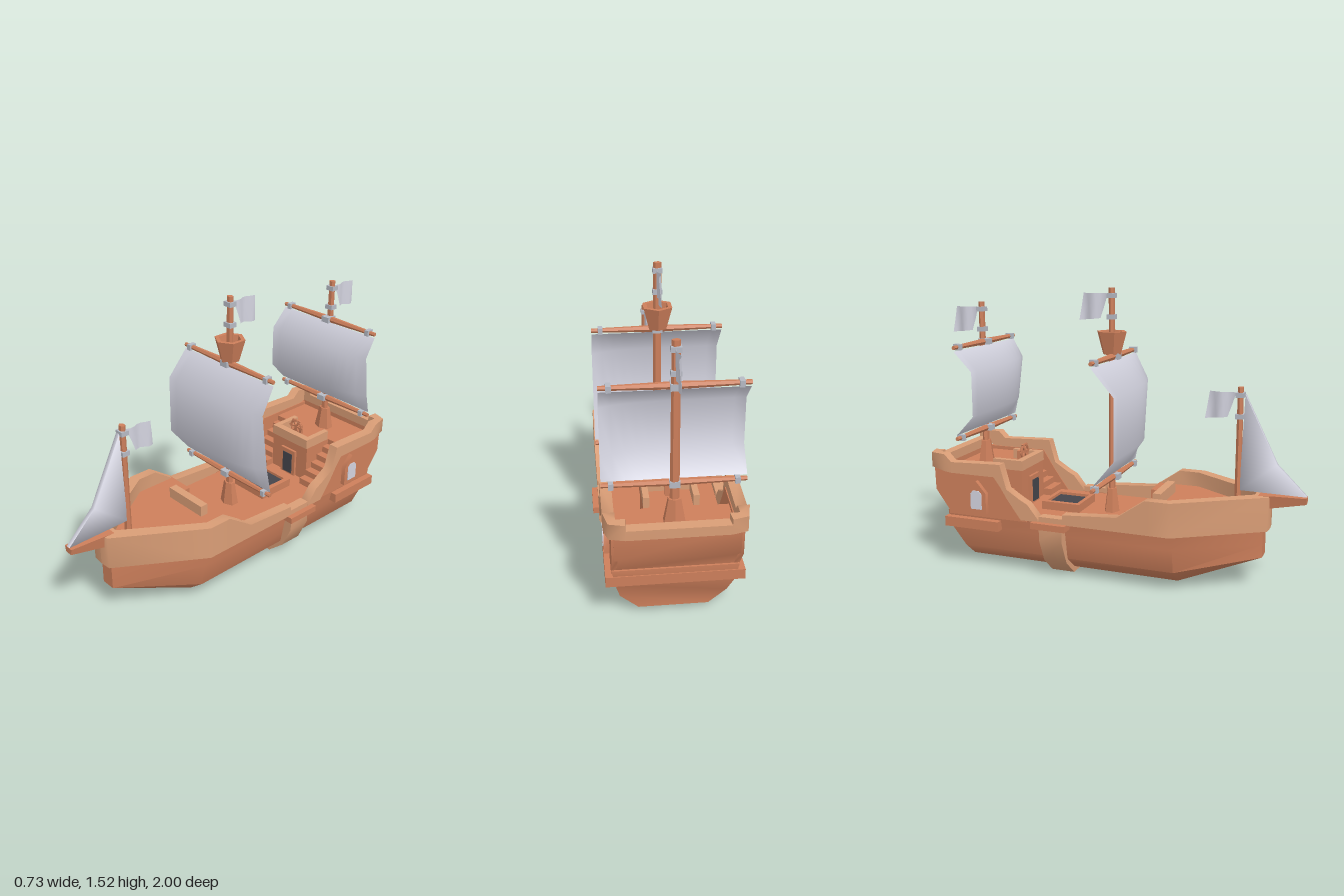
import * as THREE from 'three';
import { toCreasedNormals } from 'three/addons/utils/BufferGeometryUtils.js';

const mat = (name, color, extra = {}) => {
  const m = new THREE.MeshStandardMaterial({ color, ...extra });
  m.name = name;
  return m;
};

export function createModel() {
  const ship = new THREE.Group();
  ship.name = 'sailingShip';
  const wood = mat('wood', 0xcd7f5b);
  const trim = mat('lightWood', 0xd99d76);
  const cloth = mat('sailCloth', 0xd3d3df, { side: THREE.DoubleSide });
  const dark = mat('darkGrate', 0x45454b);
  const rope = mat('greyLashing', 0xb6bac4);

  const add = (name, geo, m, x = 0, y = 0, z = 0) => {
    const mesh = new THREE.Mesh(geo, m);
    mesh.name = name;
    mesh.position.set(x, y, z);
    ship.add(mesh);
    return mesh;
  };
  const flat = (geo) => {
    const g = geo.toNonIndexed();
    g.computeVertexNormals();
    return g;
  };
  // box given by its limits
  const box = (name, m, x0, x1, y0, y1, z0, z1) =>
    add(name, new THREE.BoxGeometry(x1 - x0, y1 - y0, z1 - z0), m, (x0 + x1) / 2, (y0 + y1) / 2, (z0 + z1) / 2);
  const extrude = (pts, depth, crease = 0.8) => {
    const outline = new THREE.Shape(pts.map(([a, b]) => new THREE.Vector2(a, b)));
    return toCreasedNormals(new THREE.ExtrudeGeometry(outline, { depth, bevelEnabled: false }), crease);
  };
  // side profile of [z, y] points, filling x0..x1
  const side = (name, m, pts, x0, x1, crease) =>
    add(name, extrude(pts, x1 - x0, crease).rotateY(-Math.PI / 2), m, x1);
  // plan of [x, z] points, filling y0..y1
  const plan = (name, m, pts, y0, y1) =>
    add(name, extrude(pts.map(([x, z]) => [x, -z]), y1 - y0).rotateX(-Math.PI / 2), m, 0, y0);

  // closed solid through rings of points, turned outwards by its signed volume
  const loft = (rings, crease) => {
    const tris = [], n = rings[0].length;
    const last = rings[rings.length - 1];
    for (let r = 0; r < rings.length - 1; r++)
      for (let i = 0; i < n; i++) {
        const j = (i + 1) % n, a = rings[r], b = rings[r + 1];
        tris.push([a[i], b[i], b[j]], [a[i], b[j], a[j]]);
      }
    for (let i = 1; i < n - 1; i++)
      tris.push([rings[0][0], rings[0][i], rings[0][i + 1]], [last[0], last[i + 1], last[i]]);
    const c = rings[0][0];
    const vol = tris.reduce((s, t) => {
      const [p, q, w] = t.map((v) => new THREE.Vector3(v[0] - c[0], v[1] - c[1], v[2] - c[2]));
      return s + p.dot(q.cross(w));
    }, 0);
    const pos = tris.flatMap((t) => (vol < 0 ? [t[0], t[2], t[1]] : t)).flat();
    const g = new THREE.BufferGeometry();
    g.setAttribute('position', new THREE.Float32BufferAttribute(pos, 3));
    return toCreasedNormals(g, crease);
  };
  // mirrored wall; stations: outer x, outer z, inner x, inner z, bottom, top
  const walls = (name, m, st) => {
    for (const s of [1, -1])
      add(name, loft(st.map(([ox, oz, ix, iz, b, t]) =>
        [[s * ox, b, oz], [s * ox, t, oz], [s * ix, t, iz], [s * ix, b, iz]]), 1.1), m);
  };

  // hull, its top being the main deck; each station is [z, half section from the top down]
  const hull = [
    [-0.9, [[0.3, 0.32], [0.285, 0.24], [0.285, 0.24], [0.285, 0.24]]],
    [-0.82, [[0.3, 0.32], [0.285, 0.24], [0.26, 0.11], [0.26, 0.11]]],
    [-0.82, [[0.3, 0.32], [0.285, 0.24], [0.26, 0.11], [0.17, 0.035]]],
    [0.38, [[0.3, 0.32], [0.285, 0.24], [0.26, 0.11], [0.17, 0.035]]],
    [0.79, [[0.04, 0.32], [0.04, 0.24], [0.04, 0.17], [0.04, 0.17]]]];
  add('hull', loft(hull.map(([z, half]) =>
    [...half.map(([x, y]) => [x, y, z]), ...half.map(([x, y]) => [-x, y, z]).reverse()]), 0.75), wood);

  // light bulwarks fore and aft
  walls('foreBulwark', trim, [
    [0.335, -0.2, 0.28, -0.2, 0.32, 0.375], [0.335, 0.1, 0.28, 0.1, 0.32, 0.395],
    [0.335, 0.25, 0.28, 0.25, 0.32, 0.5], [0.335, 0.38, 0.28, 0.36, 0.32, 0.5],
    [0.06, 0.815, 0.03, 0.74, 0.32, 0.5], [0, 0.82, 0, 0.74, 0.32, 0.5]]);
  const aft = [[-0.34, 0.32, 0.335], [-0.4, 0.32, 0.41], [-0.44, 0.32, 0.43], [-0.52, 0.43, 0.48],
    [-0.557, 0.49, 0.61], [-0.594, 0.54, 0.61], [-0.85, 0.54, 0.6], [-0.89, 0.545, 0.64]];
  walls('aftBulwark', trim, [
    ...aft.map(([z, b, t]) => [0.335, z, 0.28, z, b, t]),
    [0.315, -0.98, 0.28, -0.945, 0.56, 0.64], [0.24, -1, 0.235, -0.945, 0.56, 0.64],
    [0.239, -1, 0.234, -0.945, 0.56, 0.61], [0, -1, 0, -0.945, 0.56, 0.61]]);

  // belt around the hull with a ledge on each side
  const belt = [[0.335, 0.3], [0.335, 0.22], [0.275, 0.09], [0.175, 0.003]];
  add('hullBelt', extrude([...belt, ...belt.map(([x, y]) => [-x, y]).reverse()], 0.13), trim, 0, 0, -0.335);
  for (const s of [1, -1]) {
    add('sideLedge', new THREE.BoxGeometry(0.085, 0.034, 0.195), wood, s * 0.3225, 0.306, -0.2725);
    add('ledgeCap', new THREE.BoxGeometry(0.055, 0.03, 0.135), trim, s * 0.3075, 0.336, -0.2675);
  }

  // stern castle
  side('sternBlock', wood, [[-0.71, 0.3], [-0.89, 0.3], [-0.89, 0.32], [-0.97, 0.43], [-0.978, 0.57],
    [-0.95, 0.57], [-0.95, 0.53], [-0.71, 0.53]], -0.29, 0.29);
  const cabin = [[-0.42, 0.3], [-0.44, 0.325], [-0.52, 0.435], [-0.594, 0.55], [-0.973, 0.55],
    [-0.97, 0.43], [-0.89, 0.32], [-0.89, 0.3]];
  side('cabinWall', wood, cabin, 0.275, 0.302);
  side('cabinWall', wood, cabin, -0.302, -0.275);
  box('sternLedge', wood, -0.33, 0.33, 0.235, 0.289, -0.905, -0.58);
  box('balcony', wood, -0.135, 0.135, 0.3, 0.53, -0.72, -0.53);
  box('balconyFrontRail', trim, -0.135, 0.135, 0.53, 0.585, -0.565, -0.525);
  for (const s of [1, -1]) {
    add('balconySideRail', new THREE.BoxGeometry(0.03, 0.055, 0.14), trim, s * 0.12, 0.5575, -0.635);
    for (let i = 0; i < 5; i++) {
      const top = 0.358 + i * 0.035, z1 = -0.48 - i * 0.046;
      add('stairStep', new THREE.BoxGeometry(0.145, top - 0.3, z1 + 0.72), wood, s * 0.206, (top + 0.3) / 2, (z1 - 0.72) / 2);
    }
    // arched window with frame
    const frame = [[-0.65, 0.325], [-0.65, 0.44], [-0.707, 0.505], [-0.765, 0.44], [-0.765, 0.325]];
    const pane = [[-0.675, 0.35], [-0.675, 0.435], [-0.69, 0.452], [-0.725, 0.452], [-0.74, 0.435], [-0.74, 0.35]];
    side('windowFrame', wood, frame, s > 0 ? 0.29 : -0.328, s > 0 ? 0.328 : -0.29);
    side('windowPane', cloth, pane, s > 0 ? 0.326 : -0.333, s > 0 ? 0.333 : -0.326);
  }
  box('doorFrame', wood, -0.055, 0.055, 0.3, 0.48, -0.53, -0.515);
  box('door', dark, -0.034, 0.034, 0.33, 0.455, -0.516, -0.51);

  // steering wheel on its stand
  box('wheelStand', wood, -0.02, 0.02, 0.53, 0.61, -0.615, -0.59);
  add('wheelRim', new THREE.TorusGeometry(0.04, 0.008, 4, 8), wood, 0, 0.607, -0.578);
  for (let i = 0; i < 3; i++)
    add('wheelSpoke', new THREE.BoxGeometry(0.1, 0.009, 0.009), wood, 0, 0.607, -0.578).rotation.z = (i * Math.PI) / 3;

  // foredeck with its step and rail
  plan('foredeck', wood, [[0.295, 0.13], [0.295, 0.37], [0.04, 0.77], [-0.04, 0.77], [-0.295, 0.37],
    [-0.295, 0.13], [-0.13, 0.13], [-0.13, 0.22], [0.13, 0.22], [0.13, 0.13]], 0.3, 0.42);
  box('foreStep', wood, -0.13, 0.13, 0.3, 0.37, 0.13, 0.22);
  box('foreRail', trim, -0.13, 0.13, 0.42, 0.48, 0.225, 0.27);

  // cargo hatch
  for (const s of [1, -1]) {
    add('hatchSide', new THREE.BoxGeometry(0.028, 0.05, 0.22), wood, s * 0.1, 0.34, -0.31);
    add('hatchEnd', new THREE.BoxGeometry(0.172, 0.05, 0.022), wood, 0, 0.34, -0.31 + s * 0.099);
  }
  box('hatchGrate', dark, -0.086, 0.086, 0.31, 0.35, -0.4, -0.22);

  // bowsprit
  const sprit = (z, w, b, t) => [[w, t, z], [-w, t, z], [-w * 0.75, b, z], [w * 0.75, b, z]];
  add('bowsprit', loft([sprit(0.76, 0.045, 0.43, 0.5), sprit(0.82, 0.043, 0.435, 0.503), sprit(1, 0.028, 0.47, 0.503)], 0.5), wood);

  // masts, with conical feet, lashings and flags
  const mast = (z, base, foot, top) => {
    const g = new THREE.CylinderGeometry(0.02, 0.023, top - base, 6).rotateY(Math.PI / 6).scale(1, 1, 0.75);
    add('mast', flat(g), wood, 0, (top + base) / 2, z);
    if (foot) {
      const cone = new THREE.CylinderGeometry(0.034, 0.06, foot - base, 6).scale(1, 1, 0.75);
      add('mastFoot', flat(cone), wood, 0, (foot + base) / 2, z);
    }
    for (const d of [0.04, 0.15])
      add('flagTie', new THREE.BoxGeometry(0.048, 0.025, 0.042), rope, 0, top - d, z);
    // waving flag
    const flag = new THREE.PlaneGeometry(1, 1, 6, 2);
    const p = flag.attributes.position;
    for (let i = 0; i < p.count; i++) {
      const u = p.getX(i) + 0.5, v = 0.5 - p.getY(i);
      p.setXYZ(i, 0.009 * Math.sin(u * 8 + v * 2), -v * (0.13 + 0.012 * u), -0.022 - u * 0.14 - v * (0.045 - 0.025 * u));
    }
    flag.computeVertexNormals();
    add('flag', flag, cloth, 0, top - 0.03, z);
  };
  mast(0.645, 0.42, 0, 1.045);
  mast(-0.05, 0.3, 0.45, 1.525);
  mast(-0.82, 0.52, 0.655, 1.435);

  // lookout basket
  const basket = [[0, 1.18], [0.05, 1.18], [0.083, 1.3], [0.06, 1.3], [0.05, 1.25], [0, 1.25]];
  const basketGeo = new THREE.LatheGeometry(basket.map(([r, y]) => new THREE.Vector2(r, y)), 6);
  add('lookoutBasket', flat(basketGeo), wood, 0, 0, -0.05);

  // square sails hung between two yards
  const squareSail = (z, yTop, yBottom, bulge) => {
    for (const y of [yTop, yBottom]) {
      for (const s of [1, -1]) {
        const arm = new THREE.CylinderGeometry(0.011, 0.018, 0.335, 6).rotateZ((-s * Math.PI) / 2);
        add('yard', flat(arm), wood, s * 0.1675, y, z);
        add('yardLashing', new THREE.BoxGeometry(0.024, 0.032, 0.042), rope, s * 0.29, y, z);
      }
      add('mastLashing', new THREE.BoxGeometry(0.05, 0.032, 0.06), rope, 0, y, z);
    }
    const top = yTop - 0.02, h = top - yBottom - 0.02;
    const rows = [[0, 0, 0], [0.23, 1, 0.58], [0.76, 1, 0.25], [1, 0, 0]]; // drop, full bulge, slack edge bulge
    const sail = new THREE.PlaneGeometry(0.67, 1, 12, 3);
    const p = sail.attributes.position;
    for (let i = 0; i < p.count; i++) {
      const [drop, full, slack] = rows[Math.floor(i / 13)];
      p.setY(i, top - drop * h);
      p.setZ(i, z + bulge * THREE.MathUtils.lerp(full, slack, ((i % 13) / 12) ** 6));
    }
    sail.computeVertexNormals();
    add('squareSail', sail, cloth);
  };
  squareSail(-0.035, 1.17, 0.517, 0.122);
  squareSail(-0.805, 1.217, 0.73, 0.1);

  // triangular bow sail, softly shaded around its edges
  side('bowSail', cloth, [[0.672, 1.01], [0.655, 0.51], [1, 0.506], [0.845, 0.66]], -0.012, 0.012, 2);

  return ship;
}
